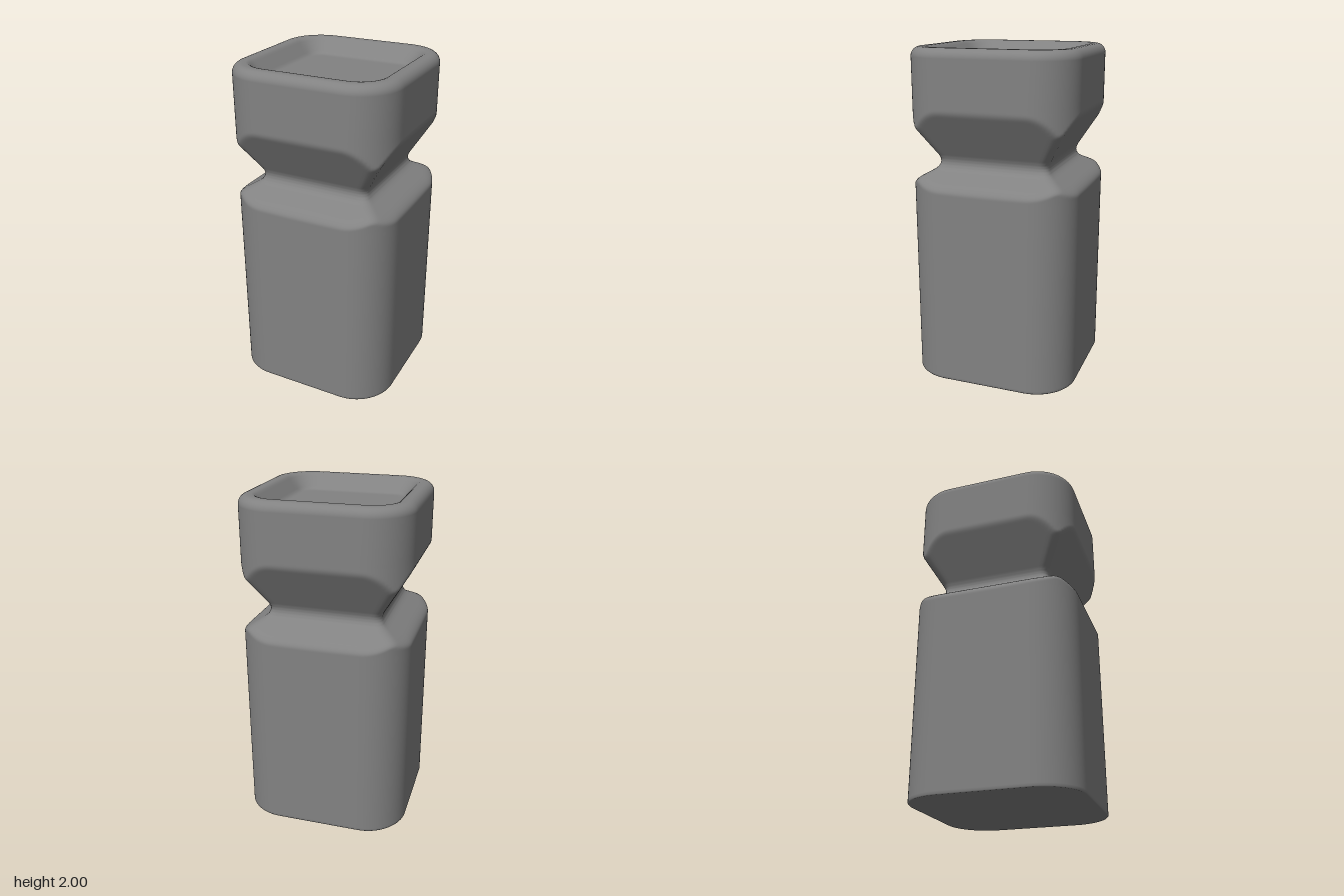
import * as THREE from 'three';

const SIDES = 192;
const CORE = 0.255; // half-length of the straight part of each side

// Distance from the centre to a rounded square's outline along angle a
function roundedSquare(a, half, r) {
  const u = Math.abs(Math.cos(a)), v = Math.abs(Math.sin(a));
  const c = Math.max(u, v), s = Math.min(u, v);
  const k = half - r, t = half / c;
  if (s * t <= k) return t;
  const b = k * (c + s);
  return b + Math.sqrt(Math.max(0, b * b - 2 * k * k + r * r));
}

// Smaller of two distances, rounding the edge where they meet
function softMin(p, q, width) {
  const h = Math.max(width - Math.abs(p - q), 0);
  return Math.min(p, q) - h * h / (4 * width);
}

// Closed skin through stacked outlines; row = { y, half, waist, soft }
function loft(rows) {
  const pos = [], index = [];
  for (const { y, half, waist, soft } of rows) {
    for (let j = 0; j < SIDES; j++) {
      const a = (j / SIDES) * Math.PI * 2;
      let d = roundedSquare(a, half, Math.max(half - CORE, half * 0.15));
      // the waist planes cut through the rounded corners
      if (waist) d = softMin(d, roundedSquare(a, waist, 0.045), soft);
      pos.push(d * Math.cos(a), y, d * Math.sin(a));
    }
  }
  for (let i = 0; i < rows.length - 1; i++) {
    for (let j = 0; j < SIDES; j++) {
      const a = i * SIDES + j, b = i * SIDES + (j + 1) % SIDES;
      const c = a + SIDES, d = b + SIDES;
      index.push(a, c, b, b, c, d);
    }
  }
  const g = new THREE.BufferGeometry();
  g.setAttribute('position', new THREE.Float32BufferAttribute(pos, 3));
  g.setIndex(index);
  g.computeVertexNormals();
  return g;
}

export function createModel() {
  const group = new THREE.Group();
  const H = 0.505;
  const rows = [];
  const add = (half, y, waist, soft) => rows.push({ half, y, waist, soft });

  // Flat base with a fine bevel
  add(0.0005, 0);
  add(0.48, 0);
  add(H - 0.005, 0);
  add(H, 0.005);
  add(H, 0.02);
  add(H, 1.15);

  // Waist: shoulder, rounded neck and long upper slope
  const waist = [
    [0.57, 1.17], [0.365, 1.286], [0.348, 1.3], [0.338, 1.318], [0.335, 1.335],
    [0.337, 1.352], [0.345, 1.372], [0.53, 1.685],
  ];
  waist.forEach(([w, y], i) => {
    if (i === waist.length - 1) return;
    const [w2, y2] = waist[i + 1];
    const n = Math.ceil((y2 - y) / 0.008);
    for (let k = 0; k < n; k++) {
      const t = k / n;
      // the shoulder edge is softer than the upper one
      add(H, y + (y2 - y) * t, w + (w2 - w) * t, y < 1.335 ? 0.055 : 0.012);
    }
  });

  // Head with a rounded outer rim
  add(H, 1.69);
  const R = 0.055;
  for (let i = 0; i <= 8; i++) {
    const a = (i / 8) * Math.PI / 2;
    add(H - R + R * Math.cos(a), 2 - R + R * Math.sin(a));
  }

  // Shallow dish in the top
  const dish = [
    [0.427, 2], [0.415, 1.997], [0.405, 1.99], [0.396, 1.981],
    [0.345, 1.926], [0.335, 1.917], [0.324, 1.911], [0.31, 1.908],
    [0.29, 1.908], [0.0005, 1.908],
  ];
  dish.forEach(([half, y]) => add(half, y));

  const body = new THREE.Mesh(
    loft(rows),
    new THREE.MeshStandardMaterial({ color: 0x828282 })
  );
  body.name = 'waistedPost';
  group.add(body);
  return group;
}
